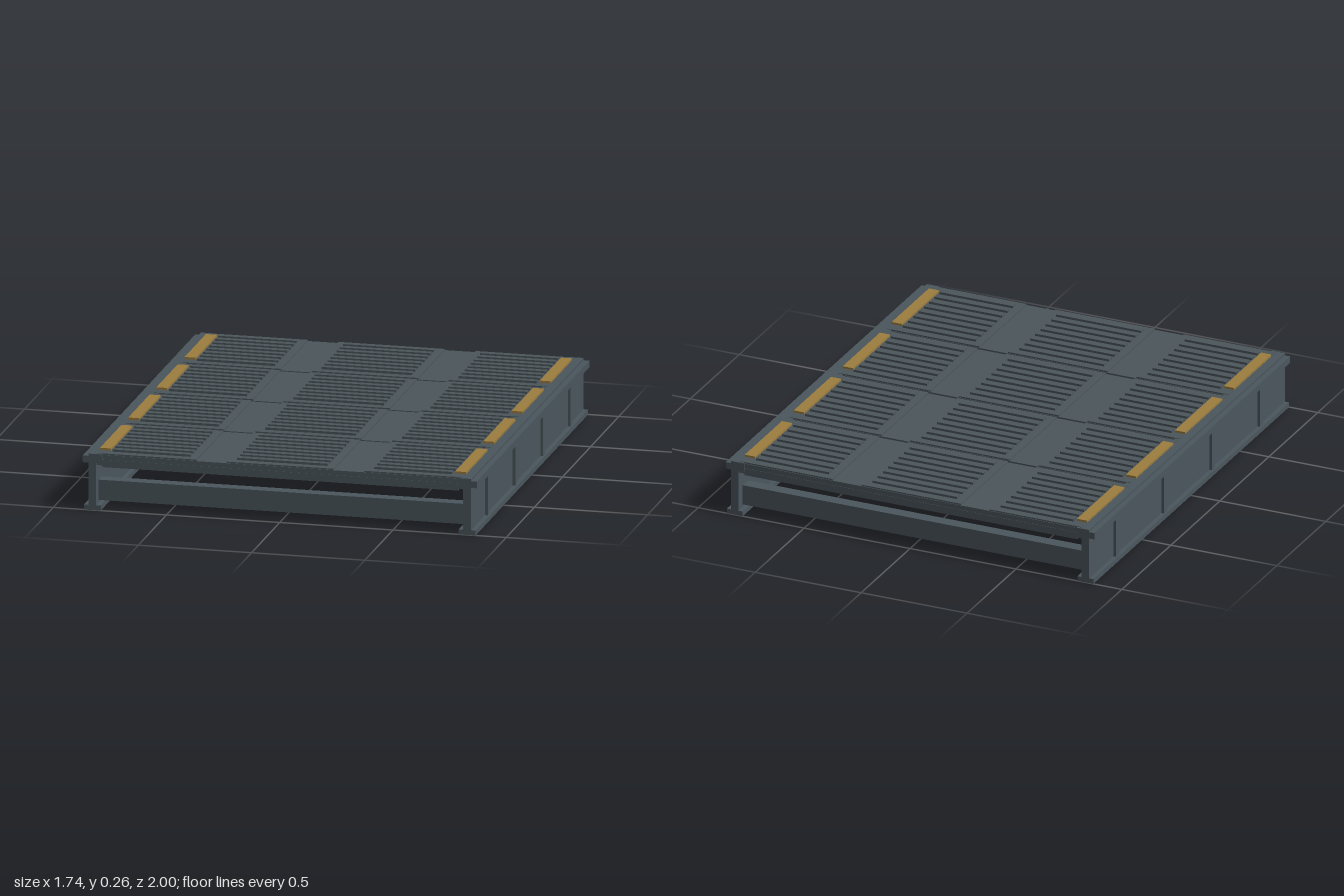
import * as THREE from 'three';

export function createModel() {
  const group = new THREE.Group();
  const mat = (name, hex) => {
    const m = new THREE.MeshStandardMaterial({ color: hex });
    m.name = name;
    return m;
  };
  const steel = mat('girder steel', 0x4a565d);
  const plate = mat('deck steel', 0x4b565b);
  const ochre = mat('ochre marking', 0x9c7d3e);

  // Box given by its limits on each axis
  const box = (parent, name, m, x0, x1, y0, y1, z0, z1) => {
    const mesh = new THREE.Mesh(new THREE.BoxGeometry(x1 - x0, y1 - y0, z1 - z0), m);
    mesh.position.set((x0 + x1) / 2, (y0 + y1) / 2, (z0 + z1) / 2);
    mesh.name = name;
    parent.add(mesh);
  };
  const mirrored = (parent, name, m, s, x0, x1, ...rest) =>
    box(parent, name, m, s > 0 ? x0 : -x1, s > 0 ? x1 : -x0, ...rest);

  // Side girders: I-section with stiffeners and a seat for the deck
  for (const s of [1, -1]) {
    const girder = new THREE.Group();
    girder.name = s > 0 ? 'leftGirder' : 'rightGirder';
    mirrored(girder, 'bottomFlange', steel, s, 0.79, 0.865, 0, 0.022, -1, 1);
    mirrored(girder, 'web', steel, s, 0.81, 0.845, 0.022, 0.21, -1, 1);
    mirrored(girder, 'topFlange', steel, s, 0.785, 0.87, 0.21, 0.24, -1, 1);
    mirrored(girder, 'deckSeat', steel, s, 0.785, 0.845, 0.24, 0.25, -1, 1);
    for (const z of [-0.735, -0.245, 0.245, 0.735])
      mirrored(girder, 'stiffener', steel, s, 0.845, 0.857, 0.022, 0.21, z - 0.016, z + 0.016);
    group.add(girder);
  }

  // Cross beams between the girders
  for (const z of [-0.93, 0, 0.93])
    box(group, 'crossBeam', steel, -0.81, 0.81, 0.035, 0.125, z - 0.028, z + 0.028);

  // Four deck panels
  const fields = [[-0.805, -0.37], [-0.235, 0.235], [0.37, 0.805]];
  for (const zc of [-0.75, -0.25, 0.25, 0.75]) {
    const panel = new THREE.Group();
    panel.name = 'deckPanel';
    panel.position.z = zc;
    box(panel, 'panelBody', plate, -0.785, 0.785, 0.192, 0.246, -0.243, 0.243);
    box(panel, 'panelLip', plate, -0.81, 0.81, 0.2, 0.225, -0.2445, 0.2445);

    // Tread fields with raised cross ribs
    for (const [x0, x1] of fields) {
      box(panel, 'treadPlate', plate, x0, x1, 0.24, 0.252, -0.24, 0.24);
      const a = x0 < -0.7 ? -0.75 : x0 + 0.035;
      const b = x1 > 0.7 ? 0.75 : x1 - 0.035;
      for (let i = 0; i < 8; i++) {
        const z = (i - 3.5) * 0.054;
        box(panel, 'treadRib', plate, a, b, 0.25, 0.262, z - 0.014, z + 0.014);
      }
    }

    // Edge markings
    for (const s of [1, -1])
      mirrored(panel, 'edgeMarking', ochre, s, 0.76, 0.808, 0.2525, 0.262, -0.19, 0.19);
    group.add(panel);
  }

  return group;
}
